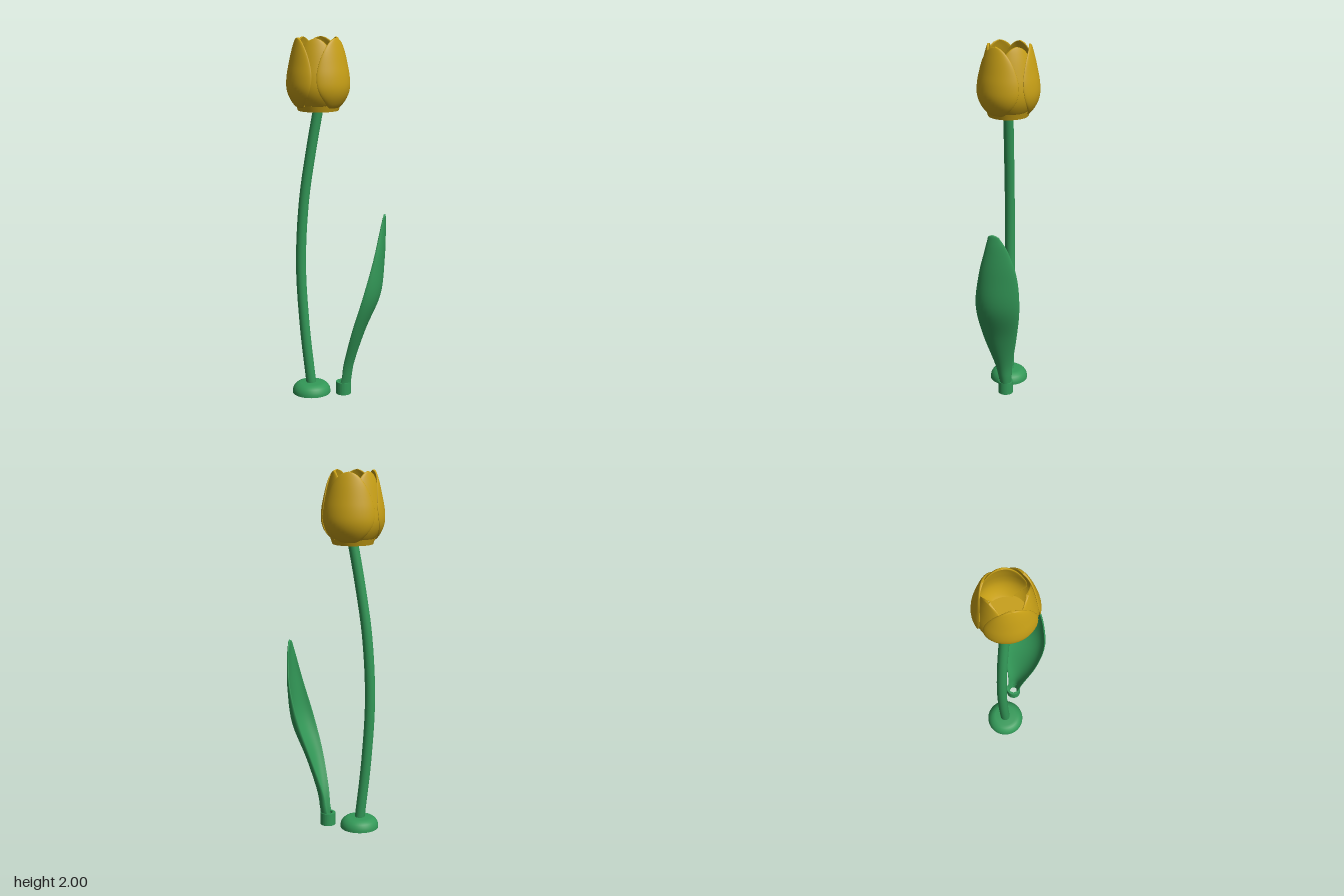
import * as THREE from 'three';

const GOLD = new THREE.MeshStandardMaterial({ color: 0xc8a016 });
const GREEN = new THREE.MeshStandardMaterial({ color: 0x339958 });

function add(parent, name, geometry, material) {
  const mesh = new THREE.Mesh(geometry, material);
  mesh.name = name;
  parent.add(mesh);
  return mesh;
}

// Smoothly interpolates the rows of a small table; t runs from 0 to 1.
function smoothTable(rows) {
  const spline = new THREE.CubicInterpolant(rows.map((_, i) => i), rows.flat(), rows[0].length);
  return (t) => [...spline.evaluate(t * (rows.length - 1))];
}

// A curved blade with a thin rounded rim. point(t, u, depth) gives a position:
// t goes up, u across (-1..1), depth is the inset from the outer face.
function bladeGeometry(point, thickness, across, up) {
  const positions = [], index = [], ring = across * 2;
  for (let i = 0; i <= up; i++) {
    for (let j = 0; j < ring; j++) {
      const inner = j > across;
      const s = inner ? ring - j : j;
      const u = Math.sin((s / across - 0.5) * Math.PI);
      const depth = thickness * Math.sqrt(Math.max(0, 1 - u ** 6)) / 2;
      positions.push(...point(i / up, u, thickness / 2 + (inner ? depth : -depth)));
    }
  }
  for (let i = 0; i < up; i++) {
    for (let j = 0; j < ring; j++) {
      const a = i * ring + j, b = i * ring + (j + 1) % ring;
      index.push(a, a + ring, b, b, a + ring, b + ring);
    }
  }
  const geometry = new THREE.BufferGeometry();
  geometry.setAttribute('position', new THREE.Float32BufferAttribute(positions, 3));
  geometry.setIndex(index);
  geometry.computeVertexNormals();
  return geometry;
}

// Petal rows: height, radius, half width in degrees
const petalAt = smoothTable([
  [1.625, 0.112, 18], [1.645, 0.134, 31], [1.69, 0.160, 45], [1.74, 0.172, 53],
  [1.80, 0.169, 55.5], [1.86, 0.158, 52], [1.92, 0.145, 43], [1.965, 0.133, 30],
  [1.99, 0.125, 16], [2.0, 0.121, 0],
]);

function petalGeometry(angle, inset) {
  return bladeGeometry((t, u, depth) => {
    const [y, r, half] = petalAt(t);
    const a = angle + u * THREE.MathUtils.degToRad(Math.max(half, 0));
    const radius = r - inset - depth;
    return [Math.cos(a) * radius, y, Math.sin(a) * radius];
  }, 0.012, 20, 36);
}

// Leaf rows: height, x of edges, x of midrib, z centre, half width
const leafAt = smoothTable([
  [0.03, 0.012, 0.072, 0.0, 0.034], [0.1, 0.03, 0.082, 0.002, 0.040],
  [0.2, 0.045, 0.10, 0.010, 0.055], [0.4, 0.095, 0.165, 0.025, 0.10],
  [0.6, 0.155, 0.245, 0.03, 0.125], [0.8, 0.208, 0.265, 0.023, 0.108],
  [0.95, 0.238, 0.27, 0.027, 0.068], [1.02, 0.252, 0.27, 0.037, 0.040],
  [1.045, 0.258, 0.27, 0.043, 0.026], [1.055, 0.264, 0.268, 0.045, 0.004],
]);

function leafGeometry() {
  return bladeGeometry((t, u, depth) => {
    const [y, edge, mid, z, w] = leafAt(t);
    const a = u * Math.PI / 2, c = Math.cos(a), s = Math.sin(a);
    // the back edge swings slightly outward
    const skew = 0.1 * w * (1 - s) * (1 - c);
    const inset = Math.min(depth, w);
    return [edge + (mid - edge) * c + skew - inset * c, y, z + (w - inset) * s];
  }, 0.012, 28, 48);
}

const lathe = (points) =>
  new THREE.LatheGeometry(points.map(([x, y]) => new THREE.Vector2(x, y)), 48);

export function createModel() {
  const model = new THREE.Group();
  model.name = 'tulip';

  // Flower head: a cup with three outer and three inner petals
  const flower = new THREE.Group();
  flower.name = 'flower';
  flower.position.x = -0.103;
  model.add(flower);
  const cup = add(flower, 'flowerCup', new THREE.CylinderGeometry(0.121, 0.11, 0.032, 48), GOLD);
  cup.position.y = 1.626;
  for (let i = 0; i < 3; i++) {
    const angle = -Math.PI / 2 + i * Math.PI * 2 / 3;
    add(flower, 'outerPetal', petalGeometry(angle, 0), GOLD);
    add(flower, 'innerPetal', petalGeometry(angle + Math.PI / 3, 0.011), GOLD);
  }

  // Bowed stem
  const path = new THREE.CatmullRomCurve3([
    [-0.146, 0.03], [-0.185, 0.4], [-0.203, 0.75], [-0.185, 1.1], [-0.142, 1.4], [-0.103, 1.62],
  ].map(([x, y]) => new THREE.Vector3(x, y, 0)));
  add(model, 'stem', new THREE.TubeGeometry(path, 60, 0.028, 24), GREEN);

  // Domed foot with a flat underside
  const foot = new THREE.Group();
  foot.name = 'foot';
  foot.position.x = -0.147;
  model.add(foot);
  add(foot, 'footDome', lathe([[0.107, 0], [0.107, 0.012], [0.104, 0.027], [0.095, 0.042],
    [0.081, 0.053], [0.063, 0.06], [0, 0.061]]), GREEN);
  const underside = add(foot, 'footUnderside', new THREE.CircleGeometry(0.107, 48), GREEN);
  underside.rotation.x = Math.PI / 2;

  // Leaf rising from a short hollow sleeve
  add(model, 'leaf', leafGeometry(), GREEN);
  const sleeveShape = new THREE.Shape().absarc(0, 0, 0.042, 0, Math.PI * 2);
  sleeveShape.holes.push(new THREE.Path().absarc(0, 0, 0.027, 0, Math.PI * 2, true));
  const sleeve = add(model, 'leafSleeve', new THREE.ExtrudeGeometry(sleeveShape,
    { depth: 0.07, bevelEnabled: false, curveSegments: 32 }), GREEN);
  sleeve.rotation.x = -Math.PI / 2;
  sleeve.position.x = 0.036;

  return model;
}
